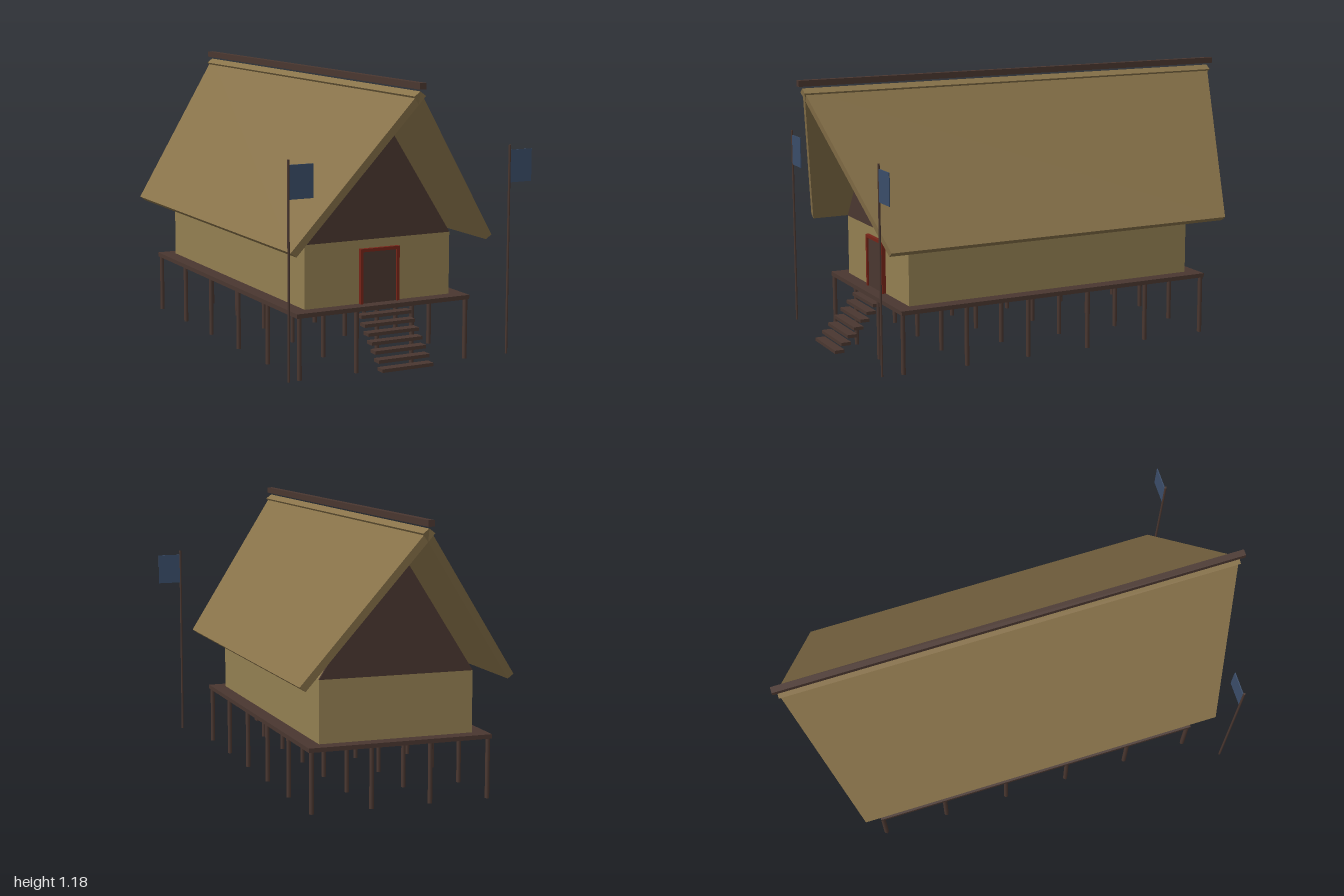
import * as THREE from 'three';

export function createModel() {
  const mat = (name, color) => Object.assign(new THREE.MeshStandardMaterial({ color }), { name });
  const wood = mat('dark wood', 0x4a3730);
  const wall = mat('woven wall', 0x948052);
  const thatch = mat('thatch', 0x89734a);
  const red = mat('red paint', 0x762418);
  const blue = mat('blue cloth', 0x3a4d69);

  const model = new THREE.Group();
  model.name = 'stiltHouse';
  const house = new THREE.Group();
  house.name = 'house';
  house.position.x = -0.05;
  model.add(house);

  const add = (parent, name, geometry, material, x, y, z) => {
    const mesh = new THREE.Mesh(geometry, material);
    mesh.name = name;
    mesh.position.set(x, y, z);
    parent.add(mesh);
    return mesh;
  };
  const box = (parent, name, material, w, h, d, x, y, z) =>
    add(parent, name, new THREE.BoxGeometry(w, h, d), material, x, y, z);

  // Stilts and deck
  const stilt = new THREE.CylinderGeometry(0.01, 0.01, 0.25, 8);
  for (let i = 0; i < 4; i++)
    for (let j = 0; j < 6; j++)
      add(house, 'stilt', stilt, wood, -0.381 + i * 0.254, 0.125, -0.715 + j * 0.286);
  box(house, 'deck', wood, 0.79, 0.018, 1.45, 0, 0.259, 0);

  // Walls and gable boards
  box(house, 'walls', wall, 0.664, 0.259, 1.33, 0, 0.3975, 0);
  const gableShape = new THREE.Shape([[-0.332, 0], [0.332, 0], [0, 0.518]].map(p => new THREE.Vector2(...p)));
  const gable = new THREE.ExtrudeGeometry(gableShape, { depth: 0.01, bevelEnabled: false });
  add(house, 'frontGable', gable, wood, 0, 0.527, 0.656);
  add(house, 'backGable', gable, wood, 0, 0.527, -0.666);

  // Roof slabs: trapezoids longer at the ridge, thickened across the slope
  const run = 0.455, rise = 0.616, slope = Math.hypot(run, rise);
  const slabShape = new THREE.Shape(
    [[-0.79, 0], [0.79, 0], [0.98, slope], [-0.98, slope]].map(p => new THREE.Vector2(...p)));
  for (const side of [-1, 1]) {
    const slab = new THREE.ExtrudeGeometry(slabShape, { depth: 0.031, bevelEnabled: false });
    const along = new THREE.Vector3(0, 0, side);
    const up = new THREE.Vector3(-side * run, rise, 0).normalize();
    const inward = new THREE.Vector3().crossVectors(along, up);
    slab.applyMatrix4(new THREE.Matrix4().makeBasis(along, up, inward));
    add(house, side < 0 ? 'rightRoof' : 'leftRoof', slab, thatch, side * run, 0.526, 0);
  }
  box(house, 'ridgeBeam', wood, 0.027, 0.025, 2, 0, 1.163, 0);

  // Door and frame
  box(house, 'door', wood, 0.156, 0.21, 0.009, 0, 0.373, 0.669);
  for (const side of [-1, 1])
    box(house, 'doorJamb', red, 0.012, 0.224, 0.017, side * 0.083, 0.38, 0.673);
  box(house, 'doorLintel', red, 0.178, 0.013, 0.017, 0, 0.4855, 0.673);

  // Open steps
  for (let i = 0; i < 7; i++)
    box(house, 'step', wood, 0.23, 0.014, 0.042, 0, 0.05 + i * 0.0298, 0.887 - i * 0.0287);

  // Banners beside the steps
  for (const x of [-0.546, 0.443]) {
    add(model, 'flagPole', new THREE.CylinderGeometry(0.005, 0.005, 0.857, 8), wood, x, 0.4685, 0.855);
    box(model, 'flag', blue, 0.103, 0.132, 0.004, x + 0.0535, 0.811, 0.855);
  }
  return model;
}
